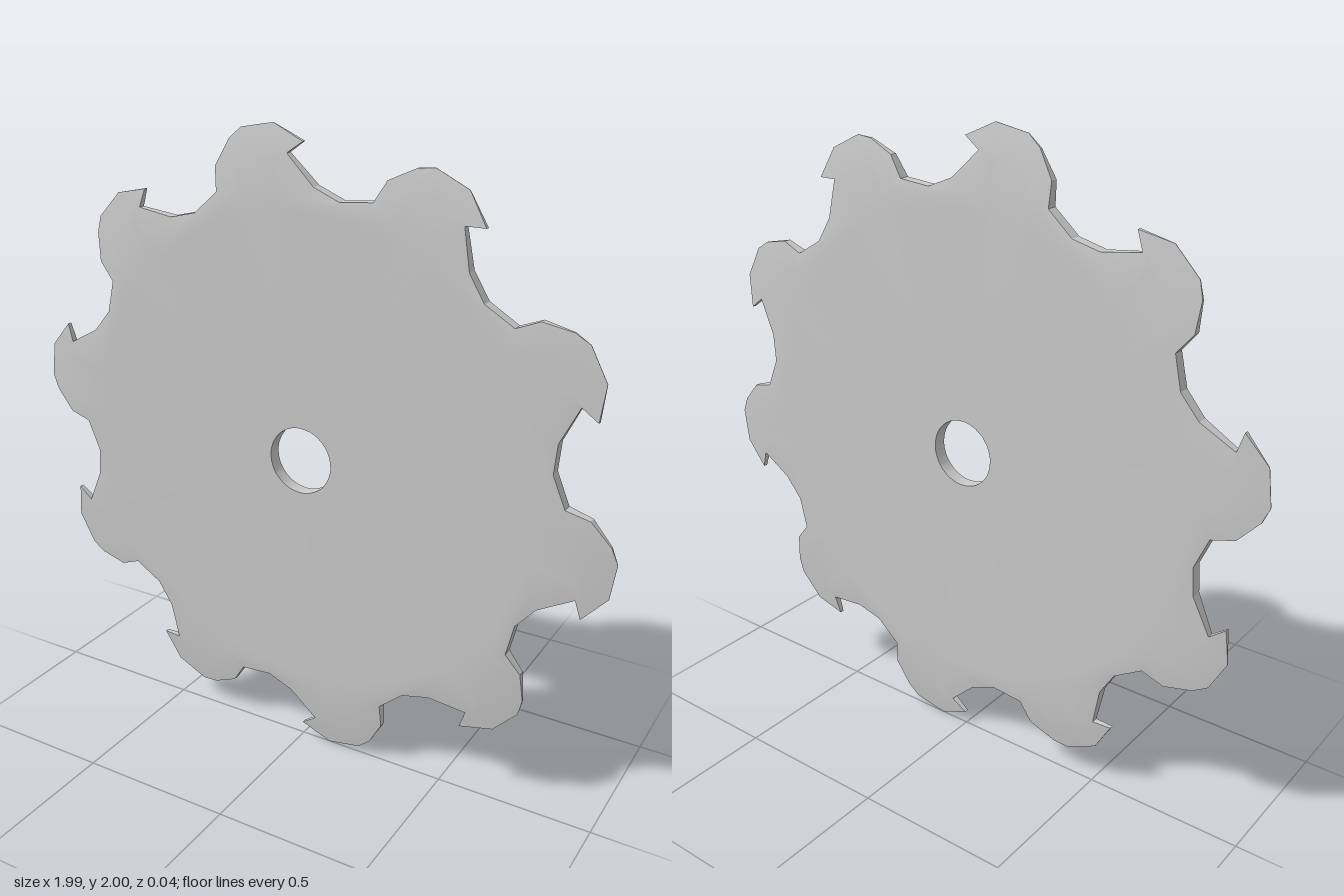
import * as THREE from 'three';

const TEETH = 10, HALF = 0.022;

// One tooth, clockwise: [edge x, edge y, inner x, inner y] from the blade centre
const TOOTH = [
  [-0.29, 0.79, -0.235, 0.785],
  [-0.295, 0.865, -0.235, 0.83],
  [-0.25, 0.945, -0.21, 0.875],
  [-0.21, 0.98, -0.18, 0.9],
  [-0.10, 1.0, -0.13, 0.905],
  [0.0, 0.955, -0.095, 0.905],
  [-0.05, 0.92, -0.08, 0.87],
  [0.04, 0.835, -0.01, 0.80],
  [0.125, 0.80, 0.125, 0.785],
];

// Half thickness: flat disc, then a rounded taper to a sharp rim
function halfThickness(r) {
  const t = Math.max(0, (r - 0.78) / 0.22);
  return Math.max(0.001, HALF * (1 - t * t));
}

// Loops of [x, y, halfThickness] from the toothed edge in to the bore
function makeLoops() {
  const edge = [], inner = [], disc = [], bore = [];
  for (let k = 0; k < TEETH; k++) {
    const a = (k * 2 * Math.PI) / TEETH, c = Math.cos(a), s = Math.sin(a);
    for (const [px, py, mx, my] of TOOTH) {
      const turn = (x, y) => [x * c + y * s, y * c - x * s];
      edge.push([...turn(px, py), halfThickness(Math.hypot(px, py)) * 0.85]);
      const m = turn(mx, my), r = Math.hypot(mx, my);
      inner.push([...m, halfThickness(r)]);
      disc.push([m[0] / r * 0.76, m[1] / r * 0.76, HALF]);
      bore.push([m[0] / r * 0.106, m[1] / r * 0.106, HALF]);
    }
  }
  return [edge, inner, disc, bore];
}

function buildGeometry(positions, index) {
  let g = new THREE.BufferGeometry();
  g.setAttribute('position', new THREE.Float32BufferAttribute(positions, 3));
  g.setIndex(index);
  g.computeVertexNormals();
  return g;
}

// Smooth side face made from the loops; side is +1 (front) or -1 (back)
function faceGeometry(loops, side) {
  const n = loops[0].length, positions = [], index = [];
  for (const loop of loops) for (const [x, y, h] of loop) positions.push(x, y, side * h);
  for (let l = 0; l < loops.length - 1; l++) {
    for (let i = 0; i < n; i++) {
      const j = (i + 1) % n;
      const a = l * n + i, b = l * n + j, c = a + n, d = b + n;
      if (side > 0) index.push(a, c, b, c, d, b);
      else index.push(a, b, c, c, b, d);
    }
  }
  return buildGeometry(positions, index);
}

// Wall joining the two faces along a loop
function wallGeometry(loop, outward) {
  const n = loop.length, positions = [], index = [];
  for (const [x, y, h] of loop) positions.push(x, y, h, x, y, -h);
  for (let i = 0; i < n; i++) {
    const f = 2 * i, b = f + 1, f2 = 2 * ((i + 1) % n), b2 = f2 + 1;
    if (outward) index.push(f, f2, b2, f, b2, b);
    else index.push(f, b2, f2, f, b, b2);
  }
  return buildGeometry(positions, index);
}

export function createModel() {
  const model = new THREE.Group();
  model.name = 'sawBlade';
  const smooth = new THREE.MeshStandardMaterial({ color: 0xcccccc });
  const flat = new THREE.MeshStandardMaterial({ color: 0xcccccc, flatShading: true });
  const loops = makeLoops();

  const add = (name, geometry, material) => {
    const mesh = new THREE.Mesh(geometry, material);
    mesh.name = name;
    mesh.position.y = 1;
    model.add(mesh);
  };
  add('frontFace', faceGeometry(loops, 1), smooth);
  add('backFace', faceGeometry(loops, -1), smooth);
  add('toothedEdge', wallGeometry(loops[0], true), flat);
  add('arborHole', wallGeometry(loops[3], false), smooth);
  return model;
}
